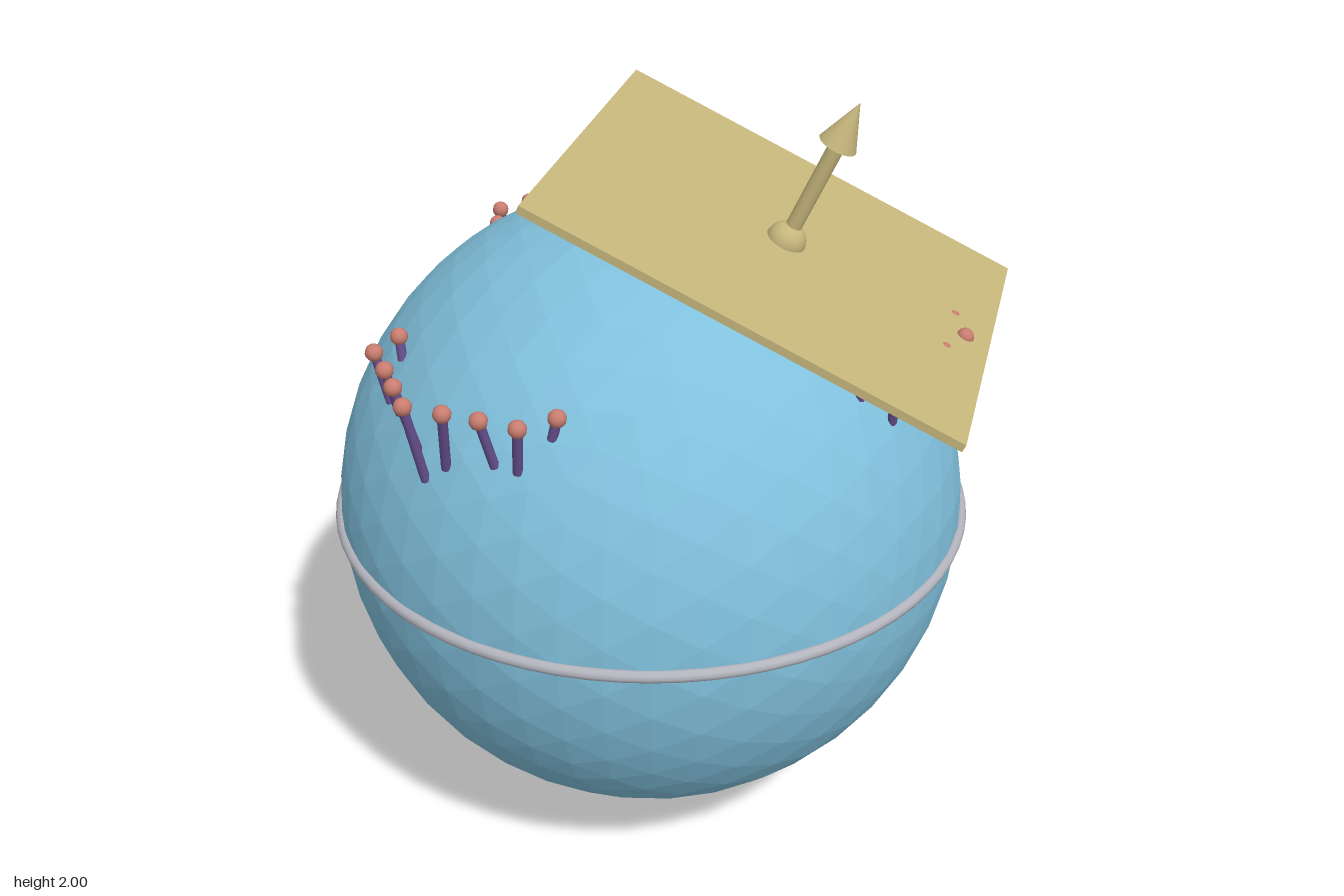
import * as THREE from 'three';

const CX = -0.01, CY = 0.885, R = 0.815;

const mat = (name, color, flatShading = false) => {
  const m = new THREE.MeshStandardMaterial({ color, flatShading });
  m.name = name;
  return m;
};

function add(parent, name, geometry, material, x = 0, y = 0, z = 0) {
  const mesh = new THREE.Mesh(geometry, material);
  mesh.name = name;
  mesh.position.set(x, y, z);
  parent.add(mesh);
  return mesh;
}

// Cylinder running from point a to point b
function rod(parent, name, a, b, radius, material) {
  const d = new THREE.Vector3().subVectors(b, a);
  const mesh = add(parent, name, new THREE.CylinderGeometry(radius, radius, d.length(), 8), material);
  mesh.position.copy(a).addScaledVector(d, 0.5);
  mesh.quaternion.setFromUnitVectors(new THREE.Vector3(0, 1, 0), d.normalize());
}

export function createModel() {
  const model = new THREE.Group();
  model.name = 'sphereWithTangentPlane';
  const blue = mat('blue', 0x80c0dc, true);
  const tan = mat('tan', 0xc6b67c);
  const silver = mat('silver', 0xb4b4be);
  const purple = mat('purple', 0x67508f);
  const pink = mat('pink', 0xc97d70);

  // Faceted globe, equator ring and pole knob
  const globe = new THREE.Group();
  globe.name = 'globe';
  globe.position.set(CX, CY, 0);
  model.add(globe);
  add(globe, 'ball', new THREE.IcosahedronGeometry(R, 7), blue);
  add(globe, 'equatorRing', new THREE.TorusGeometry(R, 0.016, 10, 72), silver).rotation.x = Math.PI / 2;
  add(globe, 'bottomKnob', new THREE.SphereGeometry(0.075, 20, 14), tan, 0, 0.075 - CY, 0);

  // Tilted plate touching the ball, with its upright arrow
  const tangent = new THREE.Group();
  tangent.name = 'tangentPlane';
  tangent.position.set(0.323, 1.632, 0);
  tangent.rotation.z = -THREE.MathUtils.degToRad(24);
  model.add(tangent);
  add(tangent, 'plate', new THREE.BoxGeometry(1.11, 0.02, 0.955), tan);
  add(tangent, 'arrowDome', new THREE.SphereGeometry(0.05, 20, 8, 0, Math.PI * 2, 0, Math.PI / 2), tan, 0, 0.008, 0);
  add(tangent, 'arrowShaft', new THREE.CylinderGeometry(0.02, 0.02, 0.28, 16), tan, 0, 0.15, 0);
  add(tangent, 'arrowHead', new THREE.ConeGeometry(0.048, 0.115, 20), tan, 0, 0.345, 0);

  // Three mirrored arcs of pins: [head radius, head angle, foot radius, foot angle]
  const pins = [
    [0.784, 0, 0.735, 0],
    [0.748, 6.8, 0.713, 4],
    [0.725, 13.5, 0.69, 14.5],
    [0.716, 21.1, 0.69, 19.6],
    [0.64, 26.3, 0.638, 25],
  ];
  const polar = (r, deg, y) => {
    const a = THREE.MathUtils.degToRad(deg);
    return new THREE.Vector3(r * Math.cos(a), y, r * Math.sin(a));
  };
  const headGeometry = new THREE.SphereGeometry(0.022, 12, 8);
  for (let k = 0; k < 3; k++) {
    const arc = new THREE.Group();
    arc.name = 'pinArc' + (k + 1);
    arc.position.x = CX;
    arc.rotation.y = k * Math.PI * 2 / 3;
    model.add(arc);
    for (const [hr, ha, fr, fa] of pins) {
      for (const s of ha === 0 ? [1] : [1, -1]) {
        const head = polar(hr, s * ha, 1.44);
        const foot = polar(fr, s * fa, CY + Math.sqrt(R * R - fr * fr) - 0.01);
        rod(arc, 'pinStem', foot, head, 0.012, purple);
        add(arc, 'pinHead', headGeometry, pink, head.x, head.y, head.z);
      }
    }
  }
  return model;
}
